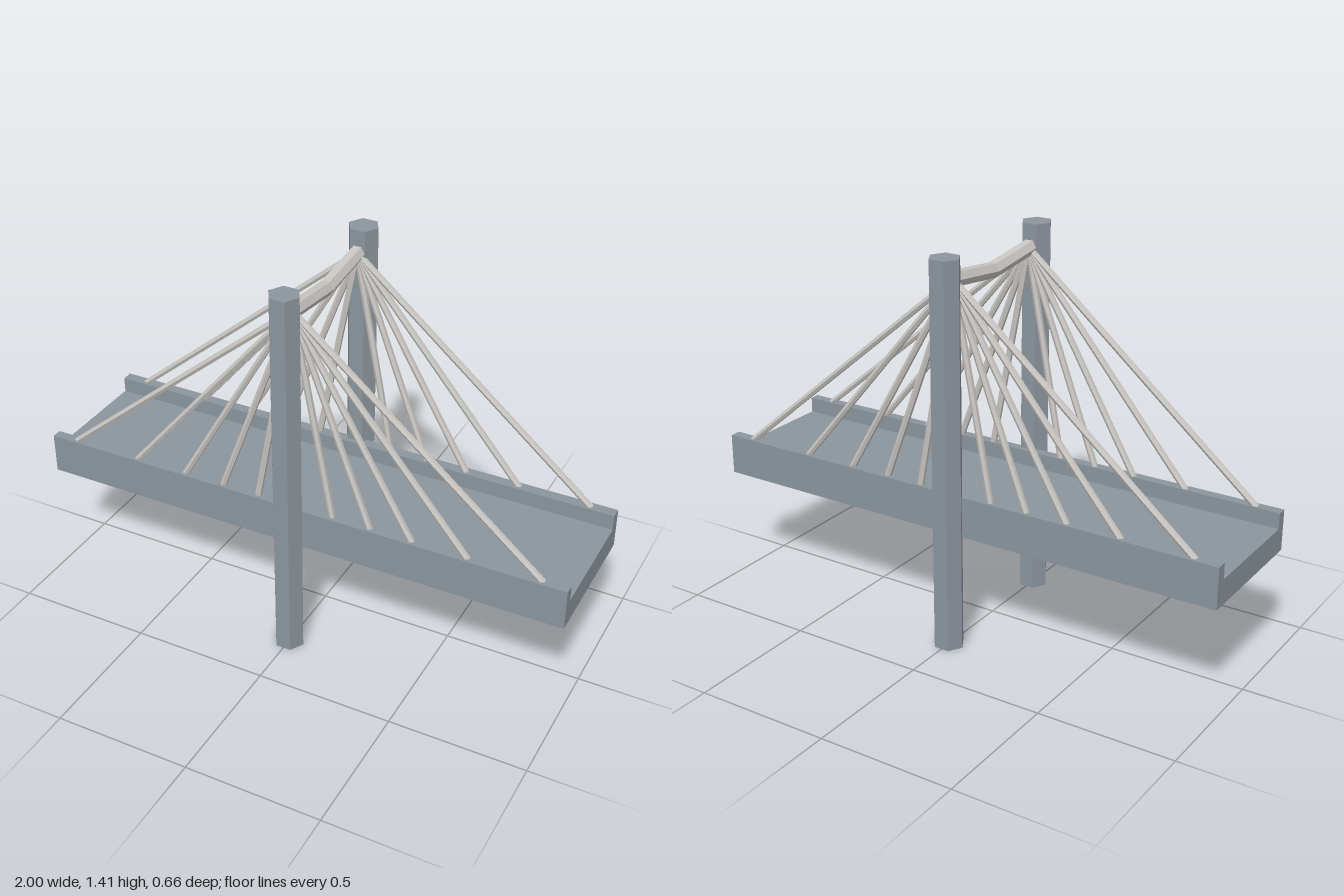
import * as THREE from 'three';

export function createModel() {
  const model = new THREE.Group();
  model.name = 'cableStayedBridge';

  const concrete = new THREE.MeshStandardMaterial({ color: 0x8c959d, flatShading: true });
  concrete.name = 'blue grey concrete';
  const steel = new THREE.MeshStandardMaterial({ color: 0xcac7c3, flatShading: true });
  steel.name = 'pale steel';

  const add = (name, geometry, material, parent = model) => {
    const mesh = new THREE.Mesh(geometry, material);
    mesh.name = name;
    parent.add(mesh);
    return mesh;
  };

  // Deck: a U-shaped section with raised curbs, extruded along x
  const [back, front] = [-0.256, 0.252];
  const [bottom, road, curb] = [0.416, 0.508, 0.566];
  const section = new THREE.Shape([
    [-front, bottom], [-back, bottom], [-back, curb], [0.215, curb],
    [0.215, road], [-0.215, road], [-0.215, curb], [-front, curb],
  ].map(([x, y]) => new THREE.Vector2(x, y)));
  const deck = new THREE.ExtrudeGeometry(section, { depth: 2, bevelEnabled: false });
  deck.translate(0, 0, -1).rotateY(Math.PI / 2);
  add('deck', deck, concrete);

  // Hexagonal towers, corners pointing along the deck
  const towerHeight = 1.41;
  for (const side of [1, -1]) {
    const tower = new THREE.CylinderGeometry(0.056, 0.056, towerHeight, 6);
    tower.rotateY(Math.PI / 6).translate(0, towerHeight / 2, side * 0.283);
    add(side > 0 ? 'frontTower' : 'backTower', tower, concrete);
  }

  // Crossbeam: hexagonal bar that dips to the middle
  const beam = new THREE.CylinderGeometry(0.0285, 0.0285, 0.474, 6, 2);
  beam.rotateY(Math.PI / 6).rotateX(Math.PI / 2);
  const p = beam.attributes.position;
  for (let i = 0; i < p.count; i++) {
    p.setY(i, p.getY(i) + 1.3 + 0.027 * Math.abs(p.getZ(i)) / 0.237);
  }
  beam.computeVertexNormals();
  add('crossbeam', beam, steel);

  // Stay cables fanning out from the tower tops to the curbs
  const up = new THREE.Vector3(0, 1, 0);
  const anchors = [0.145, 0.287, 0.443, 0.645, 0.91];
  for (const z of [0.23, -0.236]) {
    const fan = new THREE.Group();
    fan.name = z > 0 ? 'frontCables' : 'backCables';
    model.add(fan);
    for (const dir of [1, -1]) {
      for (const x of anchors) {
        const top = new THREE.Vector3(0, 1.325, z);
        const foot = new THREE.Vector3(dir * x, 0.56, z);
        const span = top.clone().sub(foot);
        const cable = new THREE.CylinderGeometry(0.012, 0.012, span.length(), 6);
        const mesh = add('stayCable', cable, steel, fan);
        mesh.position.copy(foot).addScaledVector(span, 0.5);
        mesh.quaternion.setFromUnitVectors(up, span.normalize());
      }
    }
  }

  return model;
}
